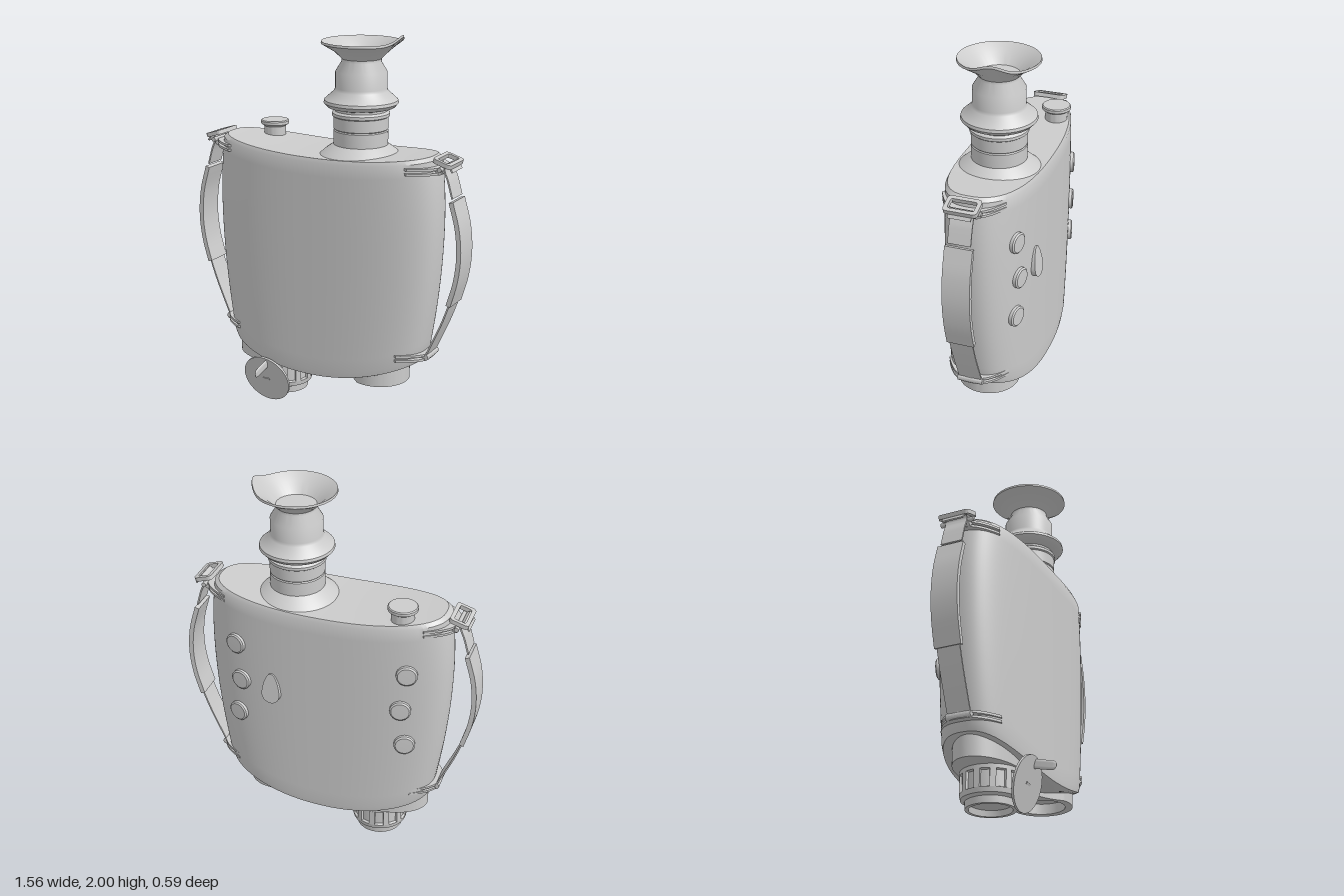
import * as THREE from 'three';
import { toCreasedNormals } from 'three/addons/utils/BufferGeometryUtils.js';

const MAT = new THREE.MeshStandardMaterial({ color: 0xcccccc, side: THREE.DoubleSide });
const ZC = -0.055, DEPTH = 0.222, POW = 2.6;

function add(parent, name, geometry, x = 0, y = 0, z = 0, crease = 0.6) {
  const mesh = new THREE.Mesh(toCreasedNormals(geometry, crease), MAT);
  mesh.name = name;
  mesh.position.set(x, y, z);
  parent.add(mesh);
  return mesh;
}

// Body rules: half width by height, top and bottom edge curves, plan outline
const halfWidth = t => 0.638 - (t > 0.68 ? 0.25 : 0.16) * (t - 0.68) ** 2;
const topY = x => 1.39 + 0.04 * (x / 0.6) ** 2;
const bottomY = x => 0.225 + 0.12 * ((x + 0.03) / 0.57) ** 2;
const spow = v => Math.sign(v) * Math.abs(v) ** (2 / POW);
const outline = (w, d, a) => [w * spow(Math.cos(a)), d * spow(Math.sin(a))];

function bodyGeometry() {
  const N = 96, rows = [];
  for (const s of [0.001, 0.5, 0.93]) rows.push({ t: 0, s, dy: -0.005 });
  rows.push({ t: 0, s: 0.985, dy: 0 });
  for (let i = 0; i <= 16; i++) rows.push({ t: 0.025 + 0.96 * i / 16, s: 1, dy: 0 });
  for (const s of [0.965, 0.5, 0.001]) rows.push({ t: 1, s, dy: 0.003 });
  const pos = [], index = [];
  rows.forEach(({ t, s, dy }, r) => {
    for (let i = 0; i < N; i++) {
      const [x, z] = outline(halfWidth(t) * s, DEPTH * s, i / N * Math.PI * 2);
      pos.push(x, THREE.MathUtils.lerp(bottomY(x), topY(x), t) + dy, z);
      if (r === 0) continue;
      const a = (r - 1) * N + i, b = (r - 1) * N + (i + 1) % N;
      index.push(a, a + N, b, b, a + N, b + N);
    }
  });
  const g = new THREE.BufferGeometry();
  g.setAttribute('position', new THREE.Float32BufferAttribute(pos, 3));
  g.setIndex(index);
  g.computeVertexNormals();
  return g;
}

const lathe = (pts, seg = 48) => new THREE.LatheGeometry(pts.map(p => new THREE.Vector2(...p)), seg);

// Horizontal plate: shape in x/z, extruded downwards
function plate(shape, depth) {
  return new THREE.ExtrudeGeometry(shape, { depth, bevelEnabled: false, curveSegments: 32 }).rotateX(Math.PI / 2);
}

// Strap running along an x/y path, with its width in z
function ribbon(path, thick, width) {
  const curve = new THREE.CatmullRomCurve3(path.map(p => new THREE.Vector3(p[0], p[1], 0)));
  const out = [], inn = [];
  for (let i = 0; i <= 24; i++) {
    const p = curve.getPointAt(i / 24), t = curve.getTangentAt(i / 24);
    out.push(new THREE.Vector2(p.x + t.y * thick / 2, p.y - t.x * thick / 2));
    inn.unshift(new THREE.Vector2(p.x - t.y * thick / 2, p.y + t.x * thick / 2));
  }
  const g = new THREE.ExtrudeGeometry(new THREE.Shape([...out, ...inn]), { depth: width, bevelEnabled: false });
  return g.translate(0, 0, -width / 2);
}

// Pointed bracket hugging the rounded end of the body
function bracketShape(w) {
  const outer = [], inner = [];
  for (let i = 0; i <= 20; i++) {
    const a = (i / 10 - 1) * 0.66;
    const [x, z] = outline(w, DEPTH, a);
    const off = 0.004 + 0.034 * Math.cos(a * 2.3) ** 2;
    outer.push(new THREE.Vector2(x + off, z + Math.sign(a) * 0.008));
    inner.unshift(new THREE.Vector2(x - 0.02, z * 0.97));
  }
  return new THREE.Shape([...outer, ...inner]);
}

function frameShape(w, h, rim) {
  const s = new THREE.Shape(), hole = new THREE.Path();
  const corner = (p, a, b, r) => {
    p.absarc(a - r, b - r, r, 0, Math.PI / 2);
    p.absarc(r - a, b - r, r, Math.PI / 2, Math.PI);
    p.absarc(r - a, r - b, r, Math.PI, Math.PI * 1.5);
    p.absarc(a - r, r - b, r, Math.PI * 1.5, Math.PI * 2);
  };
  corner(s, w / 2, h / 2, 0.02);
  corner(hole, w / 2 - rim, h / 2 - rim, 0.01);
  s.holes.push(hole);
  return s;
}

function sideStrap() {
  const g = new THREE.Group();
  g.name = 'sideStrap';
  add(g, 'strapPad', ribbon([[0.718, 1.225], [0.755, 1.09], [0.767, 0.95], [0.753, 0.82], [0.718, 0.69]], 0.024, 0.14));
  add(g, 'upperStrap', ribbon([[0.718, 1.24], [0.695, 1.32], [0.672, 1.39], [0.69, 1.41], [0.715, 1.37]], 0.008, 0.115));
  add(g, 'lowerStrap', ribbon([[0.725, 0.71], [0.68, 0.585], [0.6, 0.4]], 0.008, 0.12));
  const buckle = add(g, 'buckle', plate(frameShape(0.1, 0.17, 0.02), 0.022), 0.67, 1.425);
  buckle.rotation.z = -0.3;
  add(g, 'buckleBar', new THREE.CylinderGeometry(0.012, 0.012, 0.18, 12).rotateX(Math.PI / 2), 0.66, 1.385);
  for (const [y, w, pinX] of [[1.37, 0.618, 0.648], [0.39, 0.57, 0.597]]) {
    for (const dy of [-0.006, 0.018]) add(g, 'bracket', plate(bracketShape(w), 0.012), 0, y + dy, 0);
    add(g, 'strapPin', new THREE.CylinderGeometry(0.018, 0.018, 0.13, 16).rotateX(Math.PI / 2), pinX, y);
  }
  g.position.z = ZC + 0.005;
  return g;
}

export function createModel() {
  const model = new THREE.Group();
  add(model, 'body', bodyGeometry(), 0, 0, ZC);

  // Eyepiece with a flared cup raised on its outer side
  const eye = lathe([[0.215, 1.385], [0.18, 1.415], [0.138, 1.445], [0.138, 1.515], [0.133, 1.52], [0.138, 1.525],
    [0.138, 1.585], [0.145, 1.59], [0.145, 1.605], [0.132, 1.615], [0.132, 1.625], [0.17, 1.635], [0.188, 1.655],
    [0.185, 1.67], [0.135, 1.715], [0.13, 1.73], [0.13, 1.81], [0.1, 1.86], [0.1, 1.875], [0.135, 1.91], [0.202, 1.95],
    [0.2, 1.962], [0.15, 1.93], [0.105, 1.885], [0.1, 1.88], [0, 1.88]], 72);
  const p = eye.attributes.position;
  for (let i = 0; i < p.count; i++) {
    const x = p.getX(i), z = p.getZ(i), r = Math.hypot(x, z);
    if (p.getY(i) < 1.94 || r < 0.19) continue;
    const k = Math.exp(-((Math.atan2(z + 0.03, x) / 0.38) ** 2));
    p.setXYZ(i, x * (1 + 0.06 * k), p.getY(i) + 0.038 * k, z * (1 + 0.06 * k));
  }
  add(model, 'eyepiece', eye, 0.18, 0, -0.055);

  // Knob on the top
  add(model, 'topKnob', lathe([[0.058, 1.38], [0.058, 1.455], [0.075, 1.467], [0.075, 1.482], [0.07, 1.487], [0, 1.487]]), -0.4, 0, -0.165);

  // Left lens opening with a teardrop shroud
  const tear = new THREE.Shape();
  tear.absarc(0.31, 0, 0.158, -1.95, 1.95);
  tear.quadraticCurveTo(0.16, 0.05, 0.06, 0.05);
  tear.absarc(0.06, 0, 0.05, Math.PI / 2, Math.PI * 1.5);
  tear.quadraticCurveTo(0.16, -0.05, 0.31 + 0.158 * Math.cos(1.95), -0.158 * Math.sin(1.95));
  tear.holes.push(new THREE.Path().absarc(0.31, 0, 0.12, 0, Math.PI * 2, true));
  add(model, 'leftLensShroud', plate(tear, 0.13), 0, 0.34, -0.045);
  add(model, 'leftLens', new THREE.CylinderGeometry(0.121, 0.121, 0.02, 40), 0.31, 0.275, -0.045);

  // Right lens with its collar and grip ribs
  const collar = new THREE.Shape().absellipse(-0.28, 0, 0.26, 0.157, 0, Math.PI * 2);
  add(model, 'rightLensCollar', plate(collar, 0.13), 0, 0.34, -0.045);
  add(model, 'rightLens', lathe([[0, 0.07], [0.1, 0.06], [0.105, 0.03], [0.123, 0.03], [0.125, 0.065], [0.145, 0.075],
    [0.15, 0.1], [0.138, 0.105], [0.138, 0.185], [0.15, 0.19], [0.15, 0.23]]), -0.275, 0, -0.045);
  for (let i = 0; i < 12; i++) {
    const a = i / 12 * Math.PI * 2;
    const rib = add(model, 'gripRib', new THREE.BoxGeometry(0.025, 0.09, 0.03),
      -0.275 + 0.138 * Math.cos(a), 0.145, -0.045 + 0.138 * Math.sin(a));
    rib.rotation.y = -a;
  }

  // Tilted lens cap, its pull tab and hinge arm
  const cap = add(model, 'lensCap', new THREE.CylinderGeometry(0.138, 0.138, 0.012, 48), -0.275, 0.134, 0.143);
  cap.rotation.x = Math.PI / 2 + 0.27;
  const tab = add(model, 'capTab', new THREE.CapsuleGeometry(0.024, 0.085, 8, 16).scale(0.3, 1, 1), -0.257, 0.222, 0.222);
  tab.rotation.x = Math.PI / 2 + 0.22;
  const arm = add(model, 'capArm', new THREE.BoxGeometry(0.04, 0.012, 0.17), -0.275, 0.17, 0.075);
  arm.rotation.x = 0.48;

  // Back buttons, each square to the curved surface
  const onBack = (part, x, y) => {
    const w = halfWidth((y - 0.25) / 1.15), u = Math.abs(x) / w;
    const v = (1 - u ** POW) ** (1 / POW);
    part.position.set(x, y, ZC - DEPTH * v);
    part.rotation.y = Math.PI - Math.sign(x) * Math.atan2(u ** (POW - 1) / w, v ** (POW - 1) / DEPTH);
  };
  const button = lathe([[0.054, -0.02], [0.054, 0.014], [0.046, 0.02], [0, 0.021]], 32).rotateX(Math.PI / 2);
  for (const side of [-1, 1]) {
    for (const [x, y] of [[0.45, 1.14], [0.425, 0.93], [0.45, 0.72]]) {
      onBack(add(model, 'backButton', button), side * x, y);
    }
  }

  // Teardrop switch, thickest at its lower end
  const drop = new THREE.Shape();
  drop.absarc(0, -0.03, 0.05, Math.PI, Math.PI * 2);
  drop.quadraticCurveTo(0.045, 0.04, 0.015, 0.08);
  drop.quadraticCurveTo(0, 0.09, -0.015, 0.08);
  drop.quadraticCurveTo(-0.045, 0.04, -0.05, -0.03);
  const switchGeo = new THREE.ExtrudeGeometry(drop, { depth: 0.03, bevelEnabled: false });
  const sp = switchGeo.attributes.position;
  for (let i = 0; i < sp.count; i++) sp.setZ(i, sp.getZ(i) > 0.01 ? 0.018 - sp.getY(i) * 0.12 : -0.02);
  switchGeo.computeVertexNormals();
  onBack(add(model, 'backSwitch', switchGeo), 0.25, 0.93);

  // Matching straps on both sides
  const left = sideStrap(), right = sideStrap();
  right.rotation.y = Math.PI;
  model.add(left, right);
  return model;
}
